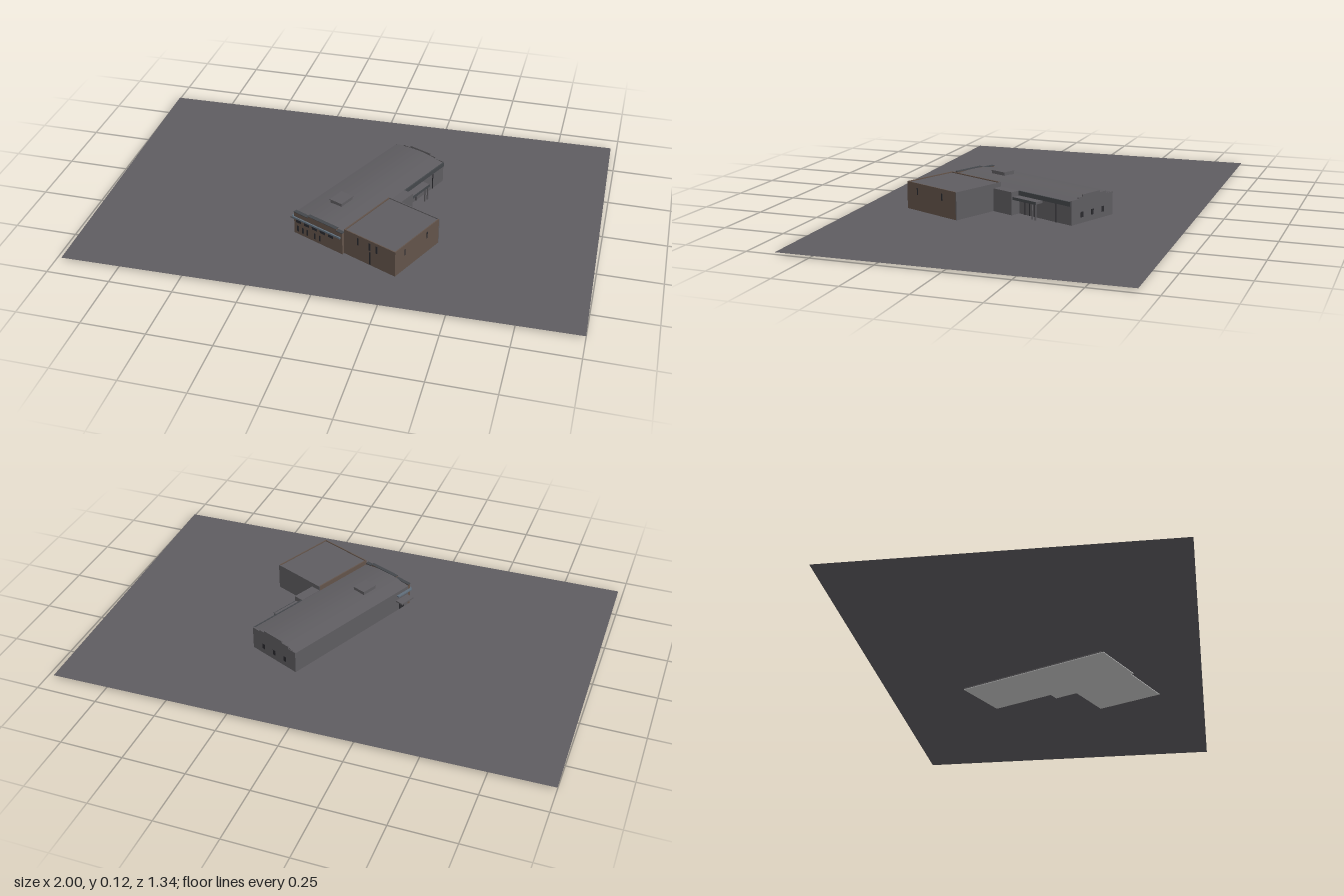
import * as THREE from 'three';

const mat = (name, color, side = THREE.FrontSide) => {
  const m = new THREE.MeshStandardMaterial({ color, side });
  m.name = name;
  return m;
};

export function createModel() {
  const grey = mat('grey render', 0x5e5c60);
  const ground = mat('asphalt', 0x5e5c60, THREE.DoubleSide);
  const brown = mat('brown brick', 0x62534a);
  const glass = mat('dark glass', 0x2a2a2e);
  const steel = mat('blue steel', 0x5f6d7a);
  const fascia = mat('dark fascia', 0x44474b);
  const pale = mat('pale underside', 0xc4c4c4);

  const model = new THREE.Group();
  const building = new THREE.Group();
  building.name = 'building';
  // Origin of the building is the rear left corner of the hall
  building.position.set(0.1, 0, -0.33);
  building.rotation.y = -0.417;
  model.add(building);

  // Box given by its minimum and maximum corners
  const box = (name, material, x0, x1, y0, y1, z0, z1) => {
    const m = new THREE.Mesh(new THREE.BoxGeometry(x1 - x0, y1 - y0, z1 - z0), material);
    m.position.set((x0 + x1) / 2, (y0 + y1) / 2, (z0 + z1) / 2);
    m.name = name;
    building.add(m);
    return m;
  };
  // Outline in x and y pushed along z
  const slab = (name, material, points, z0, z1) => {
    const shape = new THREE.Shape(points.map(p => new THREE.Vector2(p[0], p[1])));
    const m = new THREE.Mesh(new THREE.ExtrudeGeometry(shape, { depth: z1 - z0, bevelEnabled: false }), material);
    m.position.z = z0;
    m.name = name;
    building.add(m);
  };

  // Ground sheet, slightly out of square
  const sheet = new THREE.Shape([[-1, 0.63], [-0.98, -0.665], [1, -0.635], [0.975, 0.67]]
    .map(p => new THREE.Vector2(p[0], p[1])));
  const plot = new THREE.Mesh(new THREE.ShapeGeometry(sheet).rotateX(-Math.PI / 2), ground);
  plot.position.y = 0.008;
  plot.name = 'ground';
  model.add(plot);

  // Floor plates showing under the ground
  box('hallFloor', pale, 0, 0.24, 0, 0.003, 0, 0.667);
  box('blockFloor', pale, 0.24, 0.482, 0, 0.003, 0.373, 0.656);
  box('annexFloor', pale, 0.24, 0.283, 0, 0.003, 0.273, 0.373);

  // Long hall with a shallow arched roof
  const outline = [[0, 0.004], [0.24, 0.004]];
  for (let i = 0; i <= 16; i++) {
    const t = i / 16;
    outline.push([0.24 * (1 - t), 0.098 + 0.013 * Math.sin(Math.PI * t)]);
  }
  slab('hall', grey, outline, 0.003, 0.655);

  // Stepped gable walls
  slab('rearGable', grey, [[0, 0.004], [0.24, 0.004], [0.24, 0.104], [0.2, 0.104], [0.2, 0.11], [0.175, 0.11],
    [0.175, 0.118], [0.075, 0.118], [0.075, 0.11], [0.04, 0.11], [0.04, 0.1], [0, 0.1]], 0, 0.006);
  slab('frontGable', brown, [[0, 0.008], [0.24, 0.008], [0.24, 0.103], [0.21, 0.103], [0.21, 0.111],
    [0.07, 0.111], [0.07, 0.104], [0, 0.104]], 0.655, 0.667);
  box('frontCoping', fascia, 0.07, 0.21, 0.111, 0.113, 0.653, 0.669);
  for (const x of [0, 0.21]) box('sideCoping', fascia, x, x ? 0.24 : 0.07, 0.103, 0.106, 0.653, 0.669);

  // Roof vent
  box('roofVent', grey, 0.075, 0.13, 0.1, 0.121, 0.465, 0.535);
  box('ventCap', grey, 0.073, 0.132, 0.121, 0.125, 0.463, 0.537);

  // Brick block: walls with a low parapet, grey at the back
  box('blockRoof', grey, 0.245, 0.478, 0.11, 0.114, 0.377, 0.652);
  box('blockFront', brown, 0.24, 0.482, 0.008, 0.118, 0.652, 0.656);
  box('blockRight', brown, 0.478, 0.482, 0.008, 0.118, 0.377, 0.652);
  box('blockLeft', brown, 0.24, 0.245, 0.008, 0.118, 0.377, 0.652);
  box('blockRear', grey, 0.24, 0.482, 0.008, 0.118, 0.373, 0.377);

  // Side annex, entrance canopy and eave
  box('annex', grey, 0.24, 0.283, 0.004, 0.1, 0.273, 0.373);
  box('canopy', grey, 0.24, 0.277, 0.071, 0.08, 0.15, 0.273);
  box('canopyEdge', fascia, 0.277, 0.279, 0.07, 0.081, 0.149, 0.273);
  box('eave', fascia, 0.24, 0.245, 0.082, 0.1, 0.004, 0.273);
  for (const z of [0.152, 0.17]) box('canopyPost', grey, 0.27, 0.275, 0.008, 0.071, z, z + 0.005);
  for (const z of [0.19, 0.215, 0.24]) box('entranceMullion', glass, 0.24, 0.242, 0.008, 0.07, z, z + 0.003);
  box('sideDownpipe', glass, 0.24, 0.243, 0.008, 0.082, 0.075, 0.078);

  // Left porch with two thin canopies
  box('porchCanopy', grey, -0.035, 0, 0.054, 0.06, 0.58, 0.65);
  box('porchUpperCanopy', steel, -0.012, 0, 0.078, 0.083, 0.585, 0.667);
  box('porchDoor', glass, -0.002, 0, 0.01, 0.05, 0.6, 0.63);

  // Windows and steel band on the hall front
  box('frontBand', steel, -0.004, 0.232, 0.077, 0.084, 0.665, 0.673);
  for (const x of [0.015, 0.04, 0.062, 0.1, 0.125]) box('frontLowWindow', glass, x, x + 0.008, 0.02, 0.046, 0.666, 0.668);
  for (const x of [0.01, 0.05, 0.09, 0.13, 0.17]) box('frontHighWindow', glass, x, x + 0.025, 0.06, 0.072, 0.666, 0.668);

  // Narrow windows and door on the brick block
  for (const x of [0.307, 0.362, 0.395]) box('blockFrontWindow', glass, x - 0.004, x + 0.004, 0.074, 0.106, 0.655, 0.657);
  box('blockDoor', glass, 0.362, 0.368, 0.01, 0.068, 0.655, 0.657);
  for (const z of [0.454, 0.596]) box('blockSideWindow', glass, 0.481, 0.483, 0.072, 0.1, z - 0.003, z + 0.003);

  // Small rear windows
  for (const x of [0.06, 0.12, 0.18]) box('rearWindow', glass, x - 0.007, x + 0.007, 0.03, 0.052, -0.001, 0.001);

  return model;
}
